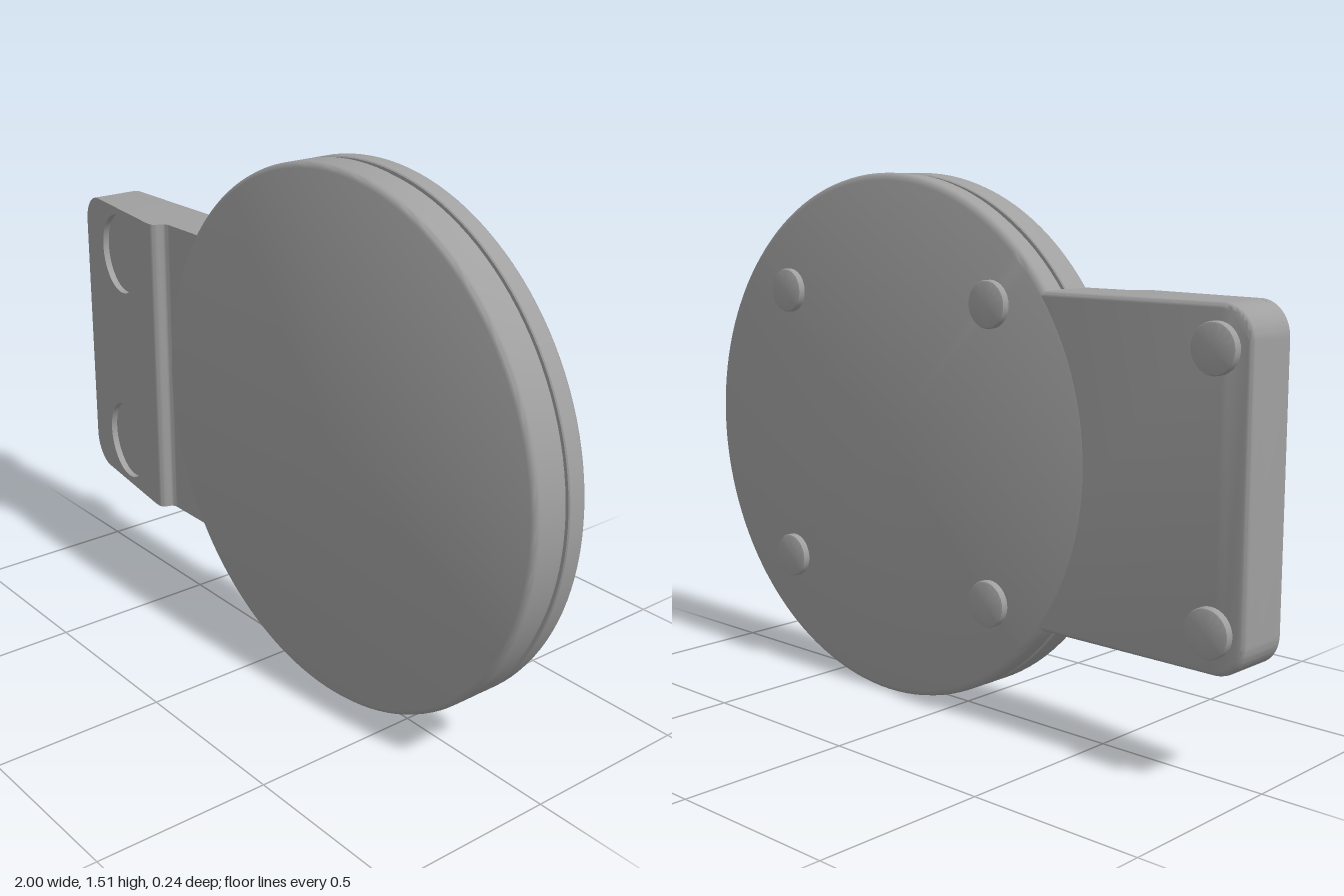
import * as THREE from 'three';
import { toCreasedNormals } from 'three/addons/utils/BufferGeometryUtils.js';

const R = 0.757, CX = 0.243, CY = 0.757; // disc radius and centre
const HALF = 0.454; // half height of the arm
const slope = x => 0.057 + 0.14 * (x + 1); // slanted front of the arm

// Arm outline from x = -1 to x1, rounded at the outer corners
function armOutline(x1, inset = 0) {
  const x0 = -1 + inset, r = 0.09 - inset, b = CY - HALF + inset, t = CY + HALF - inset;
  const s = new THREE.Shape();
  s.moveTo(x1, b);
  s.lineTo(x1, t);
  s.lineTo(x0 + r, t);
  s.absarc(x0 + r, t - r, r, Math.PI / 2, Math.PI, false);
  s.lineTo(x0, b + r);
  s.absarc(x0 + r, b + r, r, Math.PI, Math.PI * 1.5, false);
  s.closePath();
  return s;
}

// Moves the vertices of a geometry along z by a rule
function moveZ(geo, rule) {
  const p = geo.attributes.position;
  for (let i = 0; i < p.count; i++) p.setZ(i, rule(p.getX(i), p.getZ(i)));
  return geo;
}

// Turned part whose axis runs along z; points are [radius, z]
function turned(points, segments) {
  const geo = new THREE.LatheGeometry(points.map(([r, z]) => new THREE.Vector2(r, z)), segments);
  return toCreasedNormals(geo.rotateX(Math.PI / 2), 0.6);
}

export function createModel() {
  const group = new THREE.Group();
  const grey = new THREE.MeshStandardMaterial({ color: 0xa0a0a0 });
  grey.name = 'grey';
  const add = (name, geo, x = 0, y = 0, z = 0) => {
    const mesh = new THREE.Mesh(geo, grey);
    mesh.name = name;
    mesh.position.set(x, y, z);
    group.add(mesh);
  };
  const crease = geo => toCreasedNormals(geo, 0.6);

  // Round body with softened rims and a groove around the edge
  add('disc', turned([
    [0, -0.097], [R - 0.02, -0.097], [R - 0.008, -0.093], [R - 0.002, -0.086], [R, -0.078],
    [R, -0.035], [R - 0.003, -0.032], [R - 0.012, -0.032], [R - 0.012, -0.012], [R - 0.003, -0.012], [R, -0.009],
    [R, 0.066], [R - 0.002, 0.073], [R - 0.007, 0.079], [R - 0.016, 0.083], [0, 0.083],
  ], 128), CX, CY);

  // Back of the arm, with a rounded rear edge
  const bevel = 0.015;
  add('armBase', crease(new THREE.ExtrudeGeometry(armOutline(-0.18, 0), {
    depth: 0.05, bevelThickness: bevel, bevelSize: bevel, bevelOffset: -bevel, bevelSegments: 4, curveSegments: 10,
  }).translate(0, 0, -0.096 + bevel)));

  // Wedge-shaped pad, then a thin front layer with round recesses
  const recess = 0.02;
  add('armPad', crease(moveZ(
    new THREE.ExtrudeGeometry(armOutline(-0.56), { depth: 1, bevelEnabled: false, curveSegments: 10 }),
    (x, z) => (z > 0.5 ? slope(x) - recess : -0.06))));
  const face = armOutline(-0.56);
  for (const y of [CY - 0.31, CY + 0.31]) {
    const hole = new THREE.Path();
    hole.absarc(-0.76, y, 0.122, 0, Math.PI * 2, true);
    face.holes.push(hole);
  }
  add('armFace', crease(moveZ(
    new THREE.ExtrudeGeometry(face, { depth: 1, bevelEnabled: false, curveSegments: 32 }),
    (x, z) => slope(x) - (z > 0.5 ? 0 : recess))));

  // Ridge and neck: a side profile (x, -z) pulled along y
  const profile = new THREE.Shape();
  profile.moveTo(-0.56, 0.06);
  profile.lineTo(-0.18, 0.06);
  profile.lineTo(-0.18, -0.081);
  profile.lineTo(-0.495, -0.081);
  profile.quadraticCurveTo(-0.513, -0.081, -0.517, -0.095);
  profile.quadraticCurveTo(-0.523, -0.119, -0.54, -0.1195);
  profile.lineTo(-0.56, -slope(-0.56));
  profile.closePath();
  add('neck', crease(new THREE.ExtrudeGeometry(profile, { depth: HALF * 2, bevelEnabled: false, curveSegments: 6 })
    .rotateX(-Math.PI / 2).scale(1, 1, 1)), 0, CY - HALF, 0);

  // Small round feet on the back
  const foot = turned([[0, -0.118], [0.058, -0.118], [0.063, -0.116], [0.065, -0.112], [0.065, -0.09]], 32);
  for (const [x, dy] of [[-0.9, 0.345], [-0.175, 0.41], [0.65, 0.41]])
    for (const side of [-1, 1]) add('foot', foot, x, CY + side * dy);

  return group;
}
